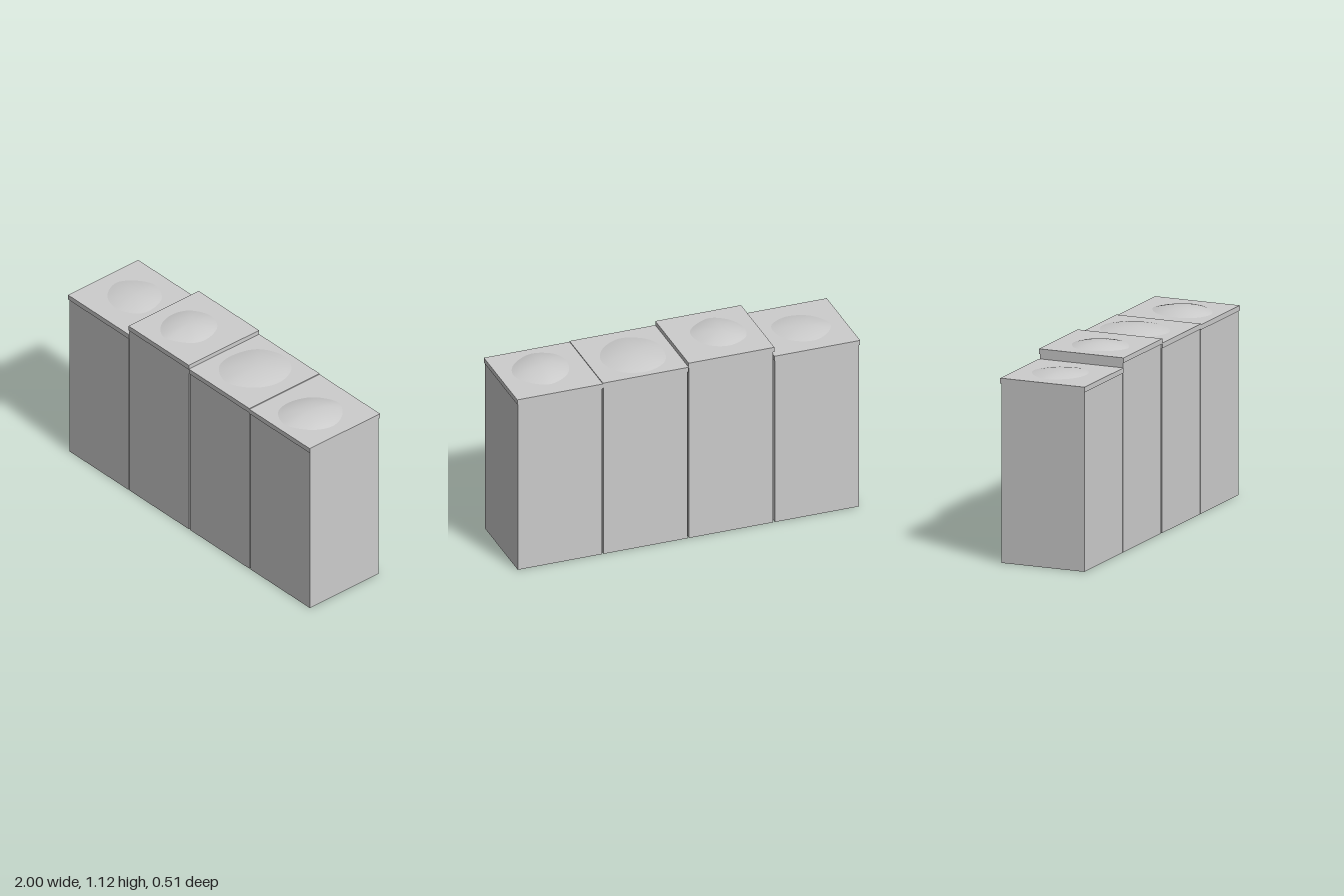
import * as THREE from 'three';

const grey = new THREE.MeshStandardMaterial({ color: 0xcccccc });
grey.name = 'plain grey';

// Each column: cap top height, dome height, and dome outline as [x, z] points
const columns = [
  { top: 1.035, dome: 0.018, outline: [[-0.915, -0.02], [-0.86, -0.115], [-0.76, -0.165], [-0.64, -0.11],
    [-0.595, 0.015], [-0.615, 0.085], [-0.72, 0.14], [-0.85, 0.1]] },
  { top: 1.091, dome: 0.024, outline: [[-0.425, 0.01], [-0.395, -0.09], [-0.28, -0.147], [-0.175, -0.105],
    [-0.125, 0.015], [-0.145, 0.095], [-0.285, 0.18], [-0.385, 0.12]] },
  { top: 1.066, dome: 0.023, outline: [[0.057, 0.01], [0.1, -0.15], [0.235, -0.217], [0.365, -0.17],
    [0.42, -0.03], [0.37, 0.1], [0.235, 0.183], [0.095, 0.12]] },
  { top: 1.061, dome: 0.028, outline: [[0.593, 0.055], [0.64, -0.08], [0.77, -0.153], [0.875, -0.09],
    [0.92, 0.015], [0.875, 0.125], [0.74, 0.204], [0.625, 0.155]] },
];

const CAP = 0.029;

// Shallow smooth dome: the outline shrinks toward its centre while rising
function domeGeometry(outline, height, segments = 48, rings = 8) {
  const curve = new THREE.CatmullRomCurve3(outline.map(([x, z]) => new THREE.Vector3(x, 0, z)), true);
  const edge = curve.getSpacedPoints(segments).slice(0, segments);
  const centre = edge.reduce((sum, p) => sum.add(p), new THREE.Vector3()).divideScalar(segments);
  const positions = [centre.x, height, centre.z];
  const index = [];
  for (let r = 1; r <= rings; r++) {
    const t = r / rings;
    for (const p of edge) {
      const q = centre.clone().lerp(p, t);
      positions.push(q.x, height * (1 - t * t), q.z);
    }
  }
  const at = (r, i) => 1 + (r - 1) * segments + (i % segments);
  for (let i = 0; i < segments; i++) {
    index.push(0, at(1, i + 1), at(1, i));
    for (let r = 1; r < rings; r++) {
      index.push(at(r, i), at(r + 1, i + 1), at(r + 1, i));
      index.push(at(r, i), at(r, i + 1), at(r + 1, i + 1));
    }
  }
  const geometry = new THREE.BufferGeometry();
  geometry.setAttribute('position', new THREE.Float32BufferAttribute(positions, 3));
  geometry.setIndex(index);
  geometry.computeVertexNormals();
  return geometry;
}

function addPart(group, name, geometry, x, y) {
  const mesh = new THREE.Mesh(geometry, grey);
  mesh.name = name;
  mesh.position.set(x, y, 0);
  group.add(mesh);
}

export function createModel() {
  const model = new THREE.Group();
  model.name = 'columnRow';
  columns.forEach(({ top, dome, outline }, i) => {
    const column = new THREE.Group();
    column.name = `column${i + 1}`;
    const x = -0.75 + i * 0.5;
    const bodyHeight = top - CAP;
    // Tall block, slightly narrower than its cap so gaps show between neighbours
    addPart(column, 'body', new THREE.BoxGeometry(0.49, bodyHeight, 0.498), x, bodyHeight / 2);
    // Overhanging slab
    addPart(column, 'cap', new THREE.BoxGeometry(0.5, CAP, 0.508), x, top - CAP / 2);
    // Low rounded mound
    addPart(column, 'dome', domeGeometry(outline, dome), 0, top);
    model.add(column);
  });
  return model;
}
